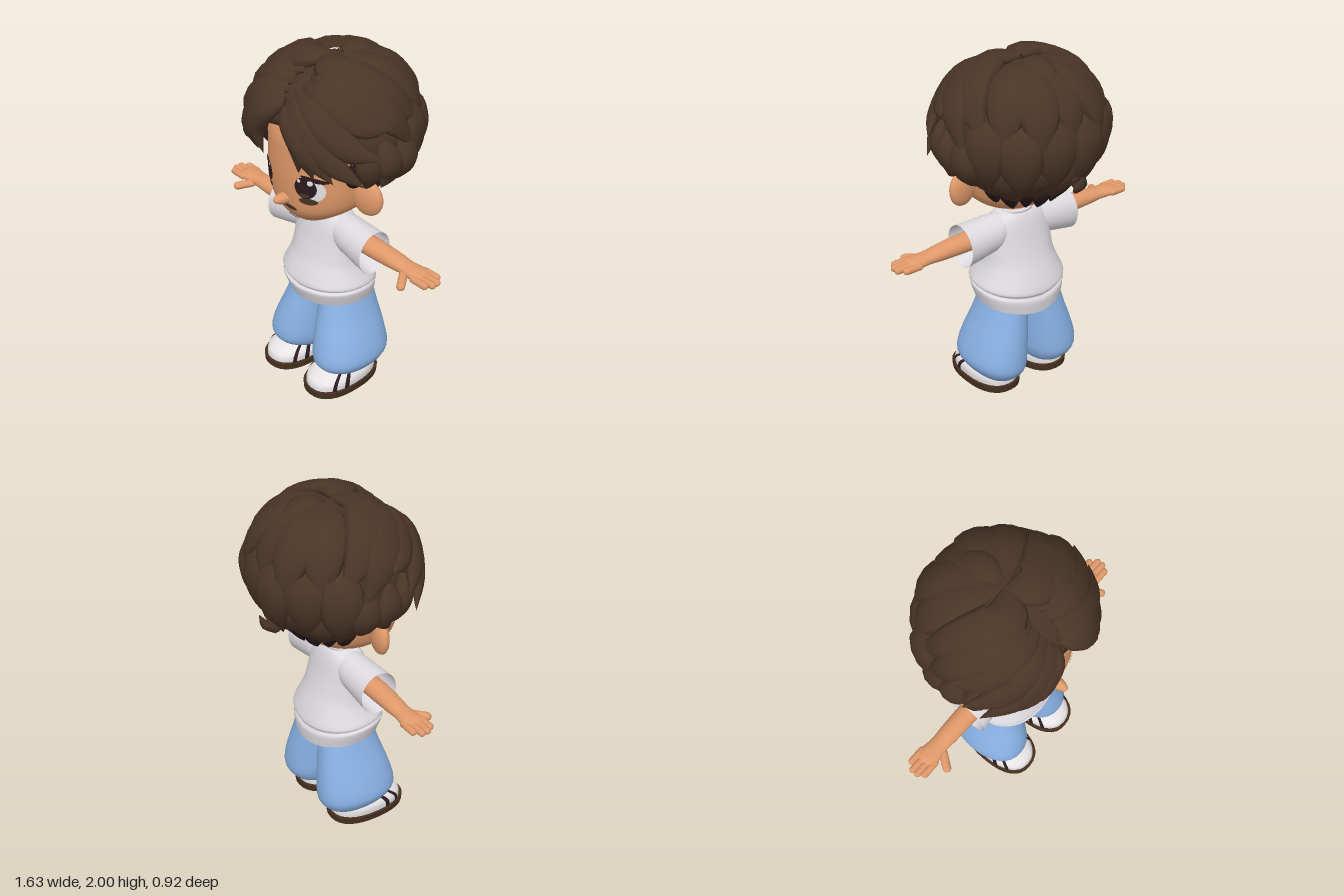
import * as THREE from 'three';

const mat = (name, color, side = THREE.FrontSide) => {
  const m = new THREE.MeshStandardMaterial({ color, side });
  m.name = name;
  return m;
};
const V = (x, y, z) => new THREE.Vector3(x, y, z);

// Surface from rows of closed rings; fn(row, angle) gives a point
function skin(rows, cols, fn, open = false, a0 = 0, a1 = Math.PI * 2) {
  const pos = [], idx = [], n = open ? cols + 1 : cols;
  for (let i = 0; i <= rows; i++)
    for (let j = 0; j < n; j++) pos.push(...fn(i, a0 + (a1 - a0) * j / cols).toArray());
  for (let i = 0; i < rows; i++)
    for (let j = 0; j < cols; j++) {
      const k = (j + 1) % n, a = i * n + j, b = i * n + k;
      idx.push(a, a + n, b, b, a + n, b + n);
    }
  const g = new THREE.BufferGeometry();
  g.setAttribute('position', new THREE.Float32BufferAttribute(pos, 3));
  g.setIndex(idx);
  g.computeVertexNormals();
  return g;
}

// Rings are [y, rx, zCentre, rz, xCentre]; smooth interpolation between them
function sampleRings(rings, steps) {
  const out = [];
  for (let i = 0; i < rings.length - 1; i++)
    for (let s = 0; s < steps; s++) {
      const t = s / steps, at = (k) => rings[Math.min(Math.max(k, 0), rings.length - 1)];
      const [p, q, r, w] = [at(i - 1), at(i), at(i + 1), at(i + 2)];
      out.push([0, 1, 2, 3, 4].map((c) => {
        const [a, b, d, e] = [p, q, r, w].map((v) => v[c] || 0);
        return b + 0.5 * t * (d - a + t * (2 * a - 5 * b + 4 * d - e + t * (3 * (b - d) + e - a)));
      }));
    }
  out.push(rings[rings.length - 1]);
  return out;
}
function loft(rings, { steps = 5, cols = 32, n = 2, grow = 0, range } = {}) {
  const rows = sampleRings(rings, steps);
  const p = (v) => Math.sign(v) * Math.pow(Math.abs(v), 2 / n);
  return skin(rows.length - 1, cols, (i, a) => {
    const [y, rx, zc, rz, xc = 0] = rows[i];
    return V(xc + p(Math.cos(a)) * (rx + grow), y, zc + p(Math.sin(a)) * (rz + grow));
  }, !!range, ...(range || []));
}

function mirrored(g) {
  const m = g.clone().scale(-1, 1, 1), ix = m.index.array;
  for (let i = 0; i < ix.length; i += 3) [ix[i], ix[i + 1]] = [ix[i + 1], ix[i]];
  m.computeVertexNormals();
  return m;
}

const HEAD = [[1.085, 0, 0.17, 0], [1.09, 0.1, 0.17, 0.1], [1.13, 0.18, 0.13, 0.19], [1.19, 0.25, 0.1, 0.255],
  [1.27, 0.28, 0.08, 0.29], [1.38, 0.29, 0.06, 0.32], [1.5, 0.29, 0.05, 0.33], [1.62, 0.28, 0.05, 0.32],
  [1.74, 0.2, 0.05, 0.25], [1.82, 0, 0.05, 0]];
const HEAD_ROWS = sampleRings(HEAD, 12), HEAD_N = 2.2;
function faceZ(x, y) {
  const i = Math.max(HEAD_ROWS.findIndex((r) => r[0] >= y), 1);
  const a = HEAD_ROWS[i - 1], b = HEAD_ROWS[i], t = (y - a[0]) / (b[0] - a[0]);
  const [, rx, zc, rz] = a.map((v, k) => v + ((b[k] || 0) - v) * t);
  return zc + rz * Math.pow(Math.max(0, 1 - Math.pow(Math.abs(x) / rx, HEAD_N)), 1 / HEAD_N);
}
// Thin oval painted on the face
function decal(x, y, rx, ry, rot, lift) {
  const g = new THREE.RingGeometry(0, 1, 28, 6).scale(rx, ry, 1).rotateZ(rot).translate(x, y, 0);
  const p = g.attributes.position;
  for (let i = 0; i < p.count; i++) p.setZ(i, faceZ(p.getX(i), p.getY(i)) + lift);
  g.computeVertexNormals();
  return g;
}

// Hair envelope: azimuth 0 is the front, angles in degrees
const hairPoint = (az, el, r = 1) => {
  const a = az * Math.PI / 180, e = el * Math.PI / 180;
  return V(0.455 * r * Math.sin(a) * Math.cos(e), 1.56 + 0.405 * r * Math.sin(e), 0.43 * r * Math.cos(a) * Math.cos(e));
};
// Tapered, flattened lock following a path over the envelope
function lock(pts, width, thick = 0.052) {
  const curve = new THREE.CatmullRomCurve3(pts.map((p) => hairPoint(...p))), rows = 14;
  return skin(rows, 10, (i, a) => {
    const t = i / rows, c = curve.getPoint(t), tan = curve.getTangent(t);
    const out = c.clone().sub(V(0, 1.5, 0)).normalize();
    const s = tan.clone().cross(out).normalize(), n = s.clone().cross(tan);
    const k = i === rows ? 0 : Math.pow(Math.sin(Math.PI * (0.1 + 0.9 * t)), 0.95);
    return c.addScaledVector(s, Math.cos(a) * k * width).addScaledVector(n, Math.sin(a) * k * thick);
  });
}

export function createModel() {
  const root = new THREE.Group();
  root.name = 'boy';
  const M = {
    skin: mat('skin', 0xe0996a), hair: mat('hair brown', 0x4a3526), dark: mat('dark brown', 0x2b1a1d),
    shirt: mat('shirt grey', 0xdedbe0, THREE.DoubleSide), jeans: mat('jeans blue', 0x8ab2e6),
    white: mat('white', 0xe6e3e4), sole: mat('sole brown', 0x46301f),
  };
  const add = (name, geo, m) => {
    const mesh = new THREE.Mesh(geo, m);
    mesh.name = name;
    root.add(mesh);
  };
  const both = (name, geo, m) => {
    add(name + 'Left', geo, m);
    add(name + 'Right', mirrored(geo), m);
  };

  // Head, nose, ears, neck
  add('head', loft(HEAD, { n: HEAD_N, cols: 48 }), M.skin);
  add('nose', new THREE.SphereGeometry(1, 20, 14).scale(0.034, 0.032, 0.08).rotateX(-0.12).translate(0, 1.247, 0.362), M.skin);
  both('ear', new THREE.SphereGeometry(1, 24, 16).scale(0.095, 0.105, 0.042).rotateY(0.2).translate(0.335, 1.285, 0.09), M.skin);
  add('neck', new THREE.CylinderGeometry(0.075, 0.085, 0.2, 24).translate(0, 1.08, 0.07), M.skin);

  // Face details
  both('eyeWhite', decal(0.176, 1.345, 0.05, 0.064, 0, 0.003), M.white);
  both('iris', decal(0.142, 1.36, 0.053, 0.064, 0, 0.005), M.dark);
  both('irisGlow', decal(0.138, 1.315, 0.026, 0.012, 0, 0.007), M.hair);
  both('lowerLid', decal(0.15, 1.278, 0.045, 0.021, 0, 0.004), M.hair);
  both('eyeGlint', decal(0.169, 1.395, 0.013, 0.016, 0, 0.008), M.white);
  both('eyeGlintSmall', decal(0.116, 1.402, 0.009, 0.01, 0, 0.008), M.white);
  both('eyelash', decal(0.182, 1.415, 0.06, 0.014, -0.3, 0.007), M.dark);
  both('moustache', decal(0.038, 1.209, 0.045, 0.015, -0.08, 0.006), M.hair);
  add('goatee', decal(0, 1.112, 0.042, 0.019, 0, 0.006), M.dark);
  add('goateeTip', decal(0, 1.128, 0.016, 0.016, 0, 0.006), M.dark);

  // Hair cap with a raised front edge, drawn in towards the nape
  const edge = (az) => (az < 90 ? 18 - 40 * Math.pow(az / 90, 1.3) : -22 - 32 * Math.min(1, (az - 90) / 14));
  add('hairCap', skin(15, 60, (i, a) => {
    const az = 360 - a * 180 / Math.PI, e = edge(Math.min(az, 360 - az));
    const el = i ? e + (90 - e) * (i - 1) / 14 : e;
    return hairPoint(az, el, i ? 0.93 + 0.004 * Math.min(0, el) : 0.55);
  }), M.hair);

  // Swept locks either side of the parting
  [
    [[[-10, 84, 0.99], [48, 68, 1.01], [95, 42, 1.03], [117, 12, 1.04]], 0.125],
    [[[12, 66, 0.97], [45, 54, 1.02], [85, 30, 1.05], [103, 2, 1.05]], 0.115],
    [[[10, 54, 0.97], [35, 46, 1.03], [65, 28, 1.05], [82, 22, 1.15]], 0.095],
    [[[8, 47, 0.97], [28, 35, 1.04], [52, 14, 1.05], [72, 4, 1.16]], 0.09],
    [[[6, 42, 0.97], [20, 28, 1.04], [42, 3, 1.04], [62, -13, 1.17]], 0.085],
    [[[5, 40, 0.97], [16, 27, 1.03], [30, 5, 1.04], [44, -13, 1.1]], 0.075],
    [[[4, 38, 0.97], [14, 26, 1.03], [25, 6, 1.04], [30, -16, 1]], 0.065],
    [[[2, 35, 0.97], [10, 26, 1.03], [20, 8, 1.02], [19, -14, 0.98]], 0.05],
    [[[60, 12, 0.96], [66, 0, 1], [69, -14, 0.99], [68, -27, 1]], 0.07],
    [[[78, 12, 0.96], [82, -2, 1.01], [84, -14, 1], [78, -25, 1.05]], 0.08],
    [[[98, 15, 0.96], [99, -5, 1], [99, -20, 0.96], [96, -38, 0.9]], 0.085],
  ].forEach(([p, w], i) => both('sweptLock' + i, lock(p, w), M.hair));
  both('sideburn', lock([[58, -2, 0.94], [60, -20, 0.92], [63, -38, 0.89]], 0.05, 0.03), M.dark);

  // Layered rows down the back: start azimuth, count, width, path of [el, r], material
  [
    ['crownLock', 130, 5, 0.12, [[84, 0.97], [58, 0.99], [32, 1], [6, 1.01]], M.hair],
    ['backLock', 116, 6, 0.115, [[38, 0.9], [16, 0.96], [-8, 0.95], [-32, 0.98]], M.hair],
    ['lowLock', 106, 7, 0.095, [[5, 0.88], [-18, 0.87], [-40, 0.83], [-58, 0.95]], M.hair],
    ['napeLock', 104, 8, 0.06, [[-35, 0.78], [-49, 0.83], [-64, 1.02]], M.dark],
  ].forEach(([name, start, count, w, path, m]) => {
    for (let i = 0; i < count; i++) {
      const az = start + (360 - 2 * start) * i / (count - 1), lift = i % 2 ? 0.025 : 0, drop = i % 2 ? 4 : 0;
      add(name + i, lock(path.map(([el, r]) => [az, el - drop, r + lift]), w), m);
    }
  });
  add('crownTuft', lock([[150, 86, 0.97], [172, 74, 1], [176, 60, 1.03], [180, 46, 1.06]], 0.085), M.hair);
  add('backCurl', lock([[188, -5, 0.95], [188, -24, 0.96], [186, -26, 1.08], [184, -16, 1.1]], 0.06, 0.035), M.hair);

  // T-shirt: body with gathered hem dipping at the back, sleeves, collar
  const body = loft([[0.525, 0.25, 0.045, 0.222], [0.6, 0.27, 0.055, 0.238], [0.625, 0.258, 0.055, 0.225],
    [0.65, 0.278, 0.055, 0.236], [0.72, 0.25, 0.058, 0.21], [0.8, 0.225, 0.06, 0.175], [0.9, 0.215, 0.06, 0.142],
    [1, 0.205, 0.06, 0.115], [1.055, 0.16, 0.06, 0.095], [1.085, 0.085, 0.065, 0.078]], { n: 2.2 });
  const bp = body.attributes.position;
  for (let i = 0; i < bp.count; i++) {
    const y = bp.getY(i), fade = THREE.MathUtils.clamp((0.8 - y) / 0.2, 0, 1);
    bp.setY(i, y + fade * (0.09 * (bp.getZ(i) - 0.05) + 0.1 * Math.abs(bp.getX(i))));
  }
  body.computeVertexNormals();
  add('shirtBody', body, M.shirt);
  both('sleeve', loft([[0.06, 0.06, 0.06, 0.06, -1.015], [0.14, 0.1, 0.06, 0.095, -0.975], [0.24, 0.112, 0.065, 0.105, -0.96],
    [0.375, 0.125, 0.07, 0.112, -0.945]]).rotateZ(-Math.PI / 2), M.shirt);
  add('collar', new THREE.TorusGeometry(0.088, 0.012, 10, 32).rotateX(Math.PI / 2 + 0.1).translate(0, 1.077, 0.067), M.shirt);

  // Arms and hands
  both('arm', loft([[0.2, 0.055, 0.06, 0.06, -0.97], [0.38, 0.053, 0.06, 0.06, -0.97], [0.52, 0.044, 0.058, 0.056, -0.968],
    [0.6, 0.034, 0.057, 0.052, -0.966], [0.67, 0.03, 0.056, 0.06, -0.966], [0.72, 0.024, 0.056, 0.058, -0.964],
    [0.75, 0, 0.056, 0, -0.964]], { cols: 24 }).rotateZ(-Math.PI / 2), M.skin);
  [[0.006, 0.785], [0.04, 0.817], [0.073, 0.817], [0.106, 0.795]].forEach(([z, tip], i) =>
    both('finger' + i, new THREE.CapsuleGeometry(0.02, 0.08, 5, 10).rotateZ(Math.PI / 2).translate(tip - 0.06, 0.964, z), M.skin));
  both('thumb', new THREE.CapsuleGeometry(0.024, 0.085, 5, 10).rotateX(Math.PI / 2).rotateY(0.62).rotateX(0.2)
    .translate(0.645, 0.943, 0.135), M.skin);

  // Baggy jeans
  add('jeansHips', loft([[0.46, 0, 0.04, 0], [0.49, 0.06, 0.04, 0.1], [0.55, 0.17, 0.035, 0.15], [0.64, 0.2, 0.03, 0.155]]), M.jeans);
  both('jeansLeg', loft([[0.06, 0, 0.03, 0, 0.17], [0.065, 0.08, 0.03, 0.11, 0.17], [0.09, 0.12, 0.04, 0.17, 0.17],
    [0.14, 0.155, 0.055, 0.225, 0.178], [0.2, 0.17, 0.06, 0.238, 0.18], [0.31, 0.157, 0.053, 0.222, 0.163],
    [0.45, 0.132, 0.04, 0.19, 0.134], [0.6, 0.108, 0.03, 0.16, 0.108]], { n: 2.2 }), M.jeans);

  // Shoes with side stripes
  both('sole', loft([[0, 0, 0.13, 0, 0.175], [0, 0.148, 0.13, 0.237, 0.175], [0, 0.148, 0.13, 0.237, 0.175],
    [0.04, 0.152, 0.13, 0.24, 0.175], [0.04, 0.152, 0.13, 0.24, 0.175], [0.045, 0, 0.13, 0, 0.175]], { steps: 1, n: 2.4 }), M.sole);
  const upper = [[0.038, 0.138, 0.13, 0.225, 0.175], [0.08, 0.138, 0.126, 0.218, 0.175], [0.115, 0.115, 0.108, 0.18, 0.175],
    [0.14, 0.08, 0.08, 0.12, 0.175], [0.148, 0, 0.07, 0, 0.175]];
  both('shoeUpper', loft(upper, { n: 2.3 }), M.white);
  [0.22, 0.6, Math.PI - 0.72, Math.PI - 0.34].forEach((a, i) =>
    both('shoeStripe' + i, loft(upper.slice(0, 4), { n: 2.3, cols: 4, grow: 0.004, range: [a, a + 0.13] }), M.dark));
  return root;
}
